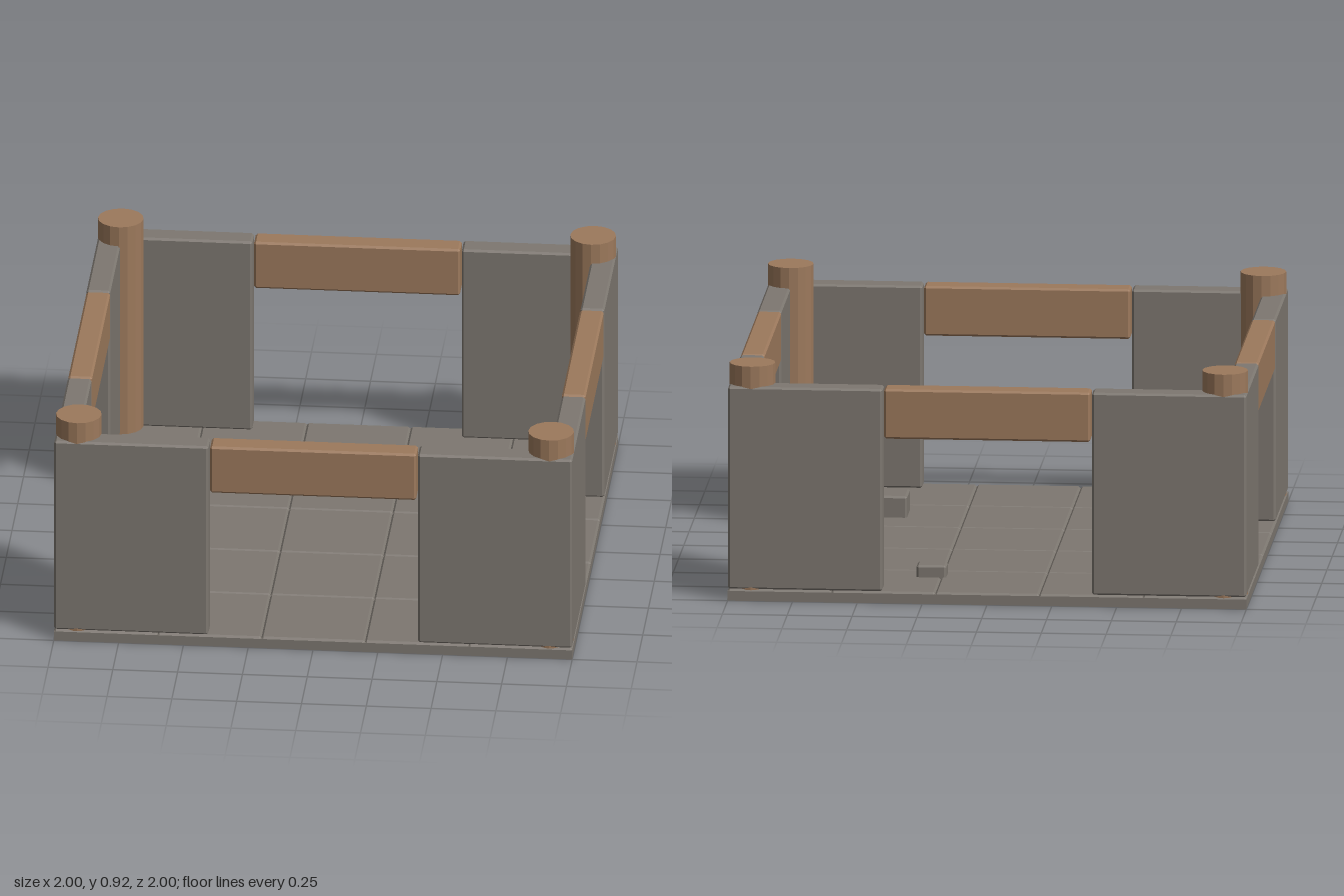
import * as THREE from 'three';
import { ConvexGeometry } from 'three/addons/geometries/ConvexGeometry.js';

// Box with all edges chamfered by b, centred on the origin
function chamferBox(w, h, d, b) {
  const pts = [];
  for (const sx of [-1, 1]) for (const sy of [-1, 1]) for (const sz of [-1, 1]) {
    for (let axis = 0; axis < 3; axis++) {
      const inset = [b, b, b];
      inset[axis] = 0;
      pts.push(new THREE.Vector3(
        sx * (w / 2 - inset[0]), sy * (h / 2 - inset[1]), sz * (d / 2 - inset[2])));
    }
  }
  return new ConvexGeometry(pts);
}

export function createModel() {
  const stone = new THREE.MeshStandardMaterial({ color: 0x7d7770 });
  stone.name = 'stone';
  const wood = new THREE.MeshStandardMaterial({ color: 0x9c795c });
  wood.name = 'wood';
  const model = new THREE.Group();
  model.name = 'stoneRoom';

  function add(name, geometry, material, x, y, z, parent = model) {
    const mesh = new THREE.Mesh(geometry, material);
    mesh.name = name;
    mesh.position.set(x, y, z);
    parent.add(mesh);
    return mesh;
  }

  // Floor: solid slab topped with a grid of chamfered tiles
  add('floorSlab', new THREE.BoxGeometry(2, 0.038, 2), stone, 0, 0.019, 0);
  const tile = chamferBox(0.4, 0.036, 0.4, 0.008);
  for (let i = -2; i <= 2; i++) {
    for (let j = -2; j <= 2; j++) add('floorTile', tile, stone, i * 0.4, 0.028, j * 0.4);
  }

  // Four identical sides: two wall blocks with a beam bridging the opening
  const wall = chamferBox(0.595, 0.795, 0.092, 0.008);
  const beam = chamferBox(0.795, 0.195, 0.092, 0.008);
  ['front', 'left', 'back', 'right'].forEach((label, i) => {
    const side = new THREE.Group();
    side.name = label + 'Side';
    side.rotation.y = i * Math.PI / 2;
    for (const s of [-1, 1]) add('wallBlock', wall, stone, s * 0.7015, 0.4425, 0.953, side);
    add('lintelBeam', beam, wood, 0, 0.7425, 0.952, side);
    model.add(side);
  });

  // Corner posts
  const post = new THREE.CylinderGeometry(0.088, 0.088, 0.878, 16).toNonIndexed();
  post.computeVertexNormals();
  for (const x of [-0.911, 0.911]) {
    for (const z of [-0.911, 0.911]) add('cornerPost', post, wood, x, 0.481, z);
  }

  // Loose stones on the floor: x, z, width, depth, top height
  for (const [x, z, w, d, top] of [
    [0.237, -0.683, 0.115, 0.087, 0.093],
    [-0.622, -0.342, 0.128, 0.105, 0.1],
    [0.515, 0.437, 0.192, 0.155, 0.13],
  ]) {
    add('looseStone', chamferBox(w, top - 0.03, d, 0.008), stone, x, (top + 0.03) / 2, z);
  }
  return model;
}
